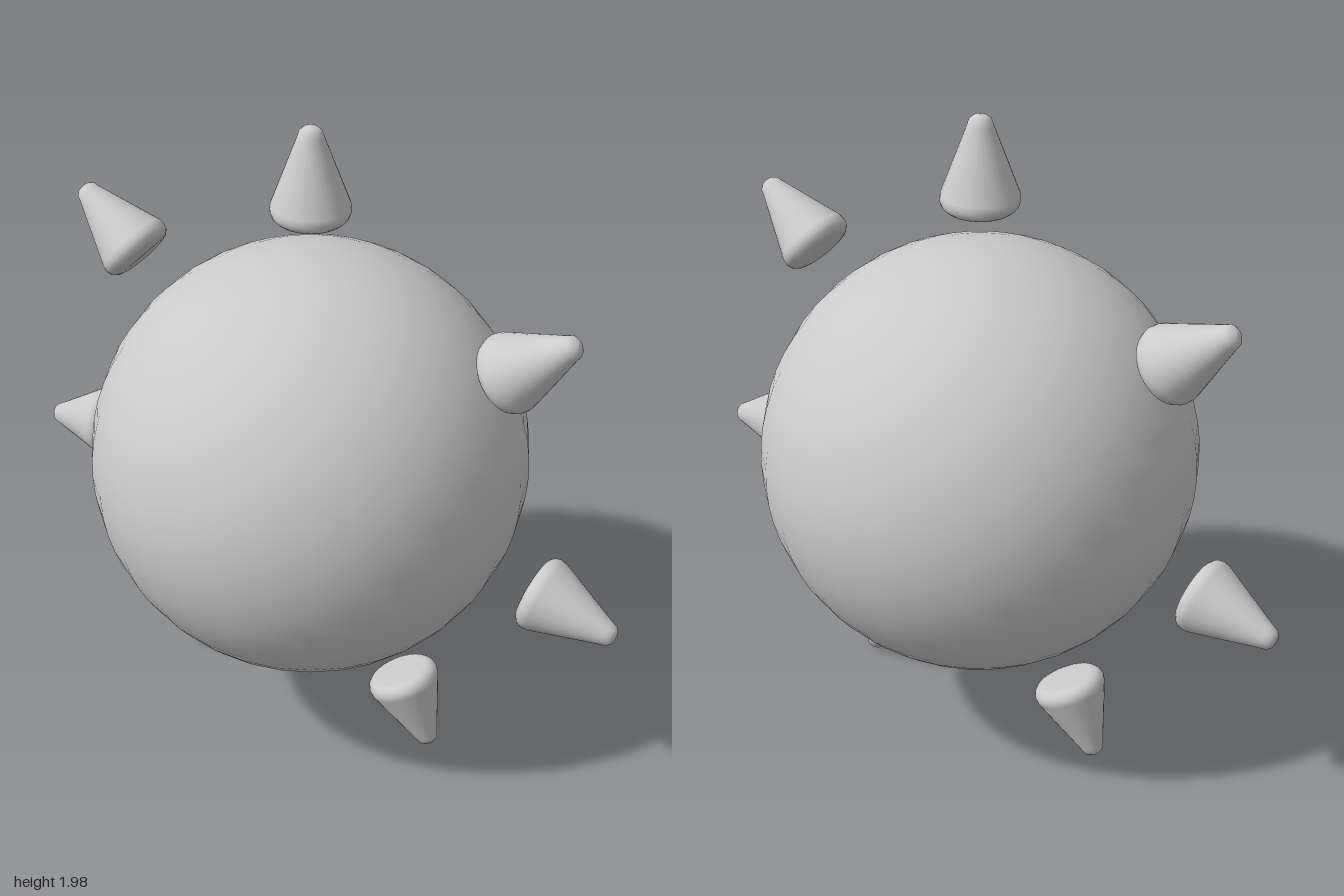
import * as THREE from 'three';

const SPIKES = 7;
const CENTER_Y = 0.947;
const BODY_RADIUS = 0.643;

// Blunt cone with rounded rim and tip; heights are distances from the body centre
function spikeGeometry() {
  const profile = [
    [0, 0.768], [0.08, 0.768], [0.095, 0.772], [0.106, 0.782], [0.111, 0.797],
    [0.109, 0.815], [0.036, 1.008], [0.031, 1.024], [0.019, 1.034], [0, 1.038],
  ].map(([r, y]) => new THREE.Vector2(r, y));
  return new THREE.LatheGeometry(profile, 32);
}

export function createModel() {
  const model = new THREE.Group();
  model.name = 'spikedBall';
  const material = new THREE.MeshStandardMaterial({ color: 0xcccccc });

  // Round body
  const body = new THREE.Mesh(new THREE.SphereGeometry(BODY_RADIUS, 32, 32), material);
  body.name = 'body';
  model.add(body);

  // Ring of floating spikes pointing outwards
  const ring = new THREE.Group();
  ring.name = 'spikeRing';
  const geometry = spikeGeometry();
  for (let i = 0; i < SPIKES; i++) {
    const spike = new THREE.Mesh(geometry, material);
    spike.name = `spike${i + 1}`;
    spike.rotation.z = (-i * 2 * Math.PI) / SPIKES;
    ring.add(spike);
  }
  model.add(ring);

  // The whole piece is turned slightly about its upright axis
  model.position.y = CENTER_Y;
  model.rotation.y = -0.09;
  const root = new THREE.Group();
  root.name = 'model';
  root.add(model);
  return root;
}
